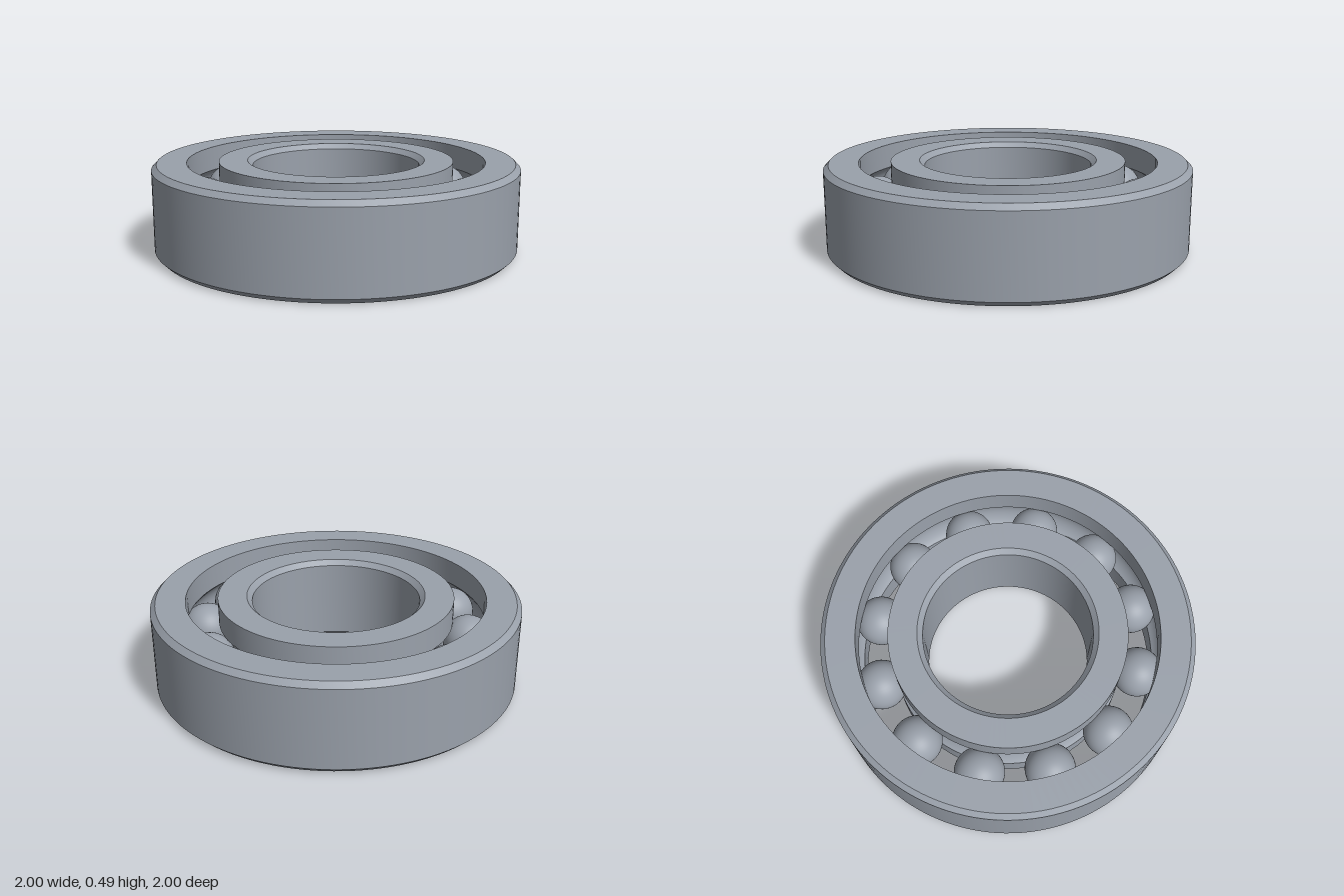
import * as THREE from 'three';
import { toCreasedNormals } from 'three/addons/utils/BufferGeometryUtils.js';

const H = 0.49;            // ring height
const C = 0.028;           // chamfer
const PITCH = 0.726;       // radius of the ball circle
const BALL_R = 0.136;
const GROOVE_R = 0.138;
const OUTER_WALL = 0.812;  // inner wall of the outer ring
const INNER_WALL = 0.64;   // outer wall of the inner ring
const BALLS = 12;

// Points of the raceway groove between two angles around the ball centre
function groove(from, to, steps = 18) {
  return Array.from({ length: steps + 1 }, (_, i) => {
    const a = from + (to - from) * i / steps;
    return [PITCH + GROOVE_R * Math.cos(a), H / 2 + GROOVE_R * Math.sin(a)];
  });
}

// Closed profile revolved around y, with sharp rims and smooth walls
function ring(name, profile, material) {
  const points = [...profile, profile[0]].map(([r, y]) => new THREE.Vector2(r, y));
  const mesh = new THREE.Mesh(toCreasedNormals(new THREE.LatheGeometry(points, 128), 0.5), material);
  mesh.name = name;
  return mesh;
}

export function createModel() {
  const model = new THREE.Group();
  model.name = 'ballBearing';
  const steel = new THREE.MeshStandardMaterial({ color: 0x9aa1ab });
  steel.name = 'steel';

  // Outer ring, chamfered on the outside
  const a = Math.acos((OUTER_WALL - PITCH) / GROOVE_R);
  model.add(ring('outerRing', [
    [1 - C, 0], [1, C], [1, H - C], [1 - C, H],
    [OUTER_WALL, H], ...groove(a, -a), [OUTER_WALL, 0],
  ], steel));

  // Inner ring, chamfered at the bore
  const b = Math.acos((PITCH - INNER_WALL) / GROOVE_R);
  model.add(ring('innerRing', [
    [INNER_WALL, 0], ...groove(Math.PI + b, Math.PI - b), [INNER_WALL, H],
    [0.456 + C, H], [0.456, H - C], [0.456, C], [0.456 + C, 0],
  ], steel));

  // Balls
  const balls = new THREE.Group();
  balls.name = 'balls';
  const ballGeometry = new THREE.SphereGeometry(BALL_R, 40, 24);
  for (let i = 0; i < BALLS; i++) {
    const t = THREE.MathUtils.degToRad(12 + i * 360 / BALLS);
    const ball = new THREE.Mesh(ballGeometry, steel);
    ball.name = `ball${i + 1}`;
    ball.position.set(PITCH * Math.sin(t), H / 2, -PITCH * Math.cos(t));
    balls.add(ball);
  }
  model.add(balls);
  return model;
}
